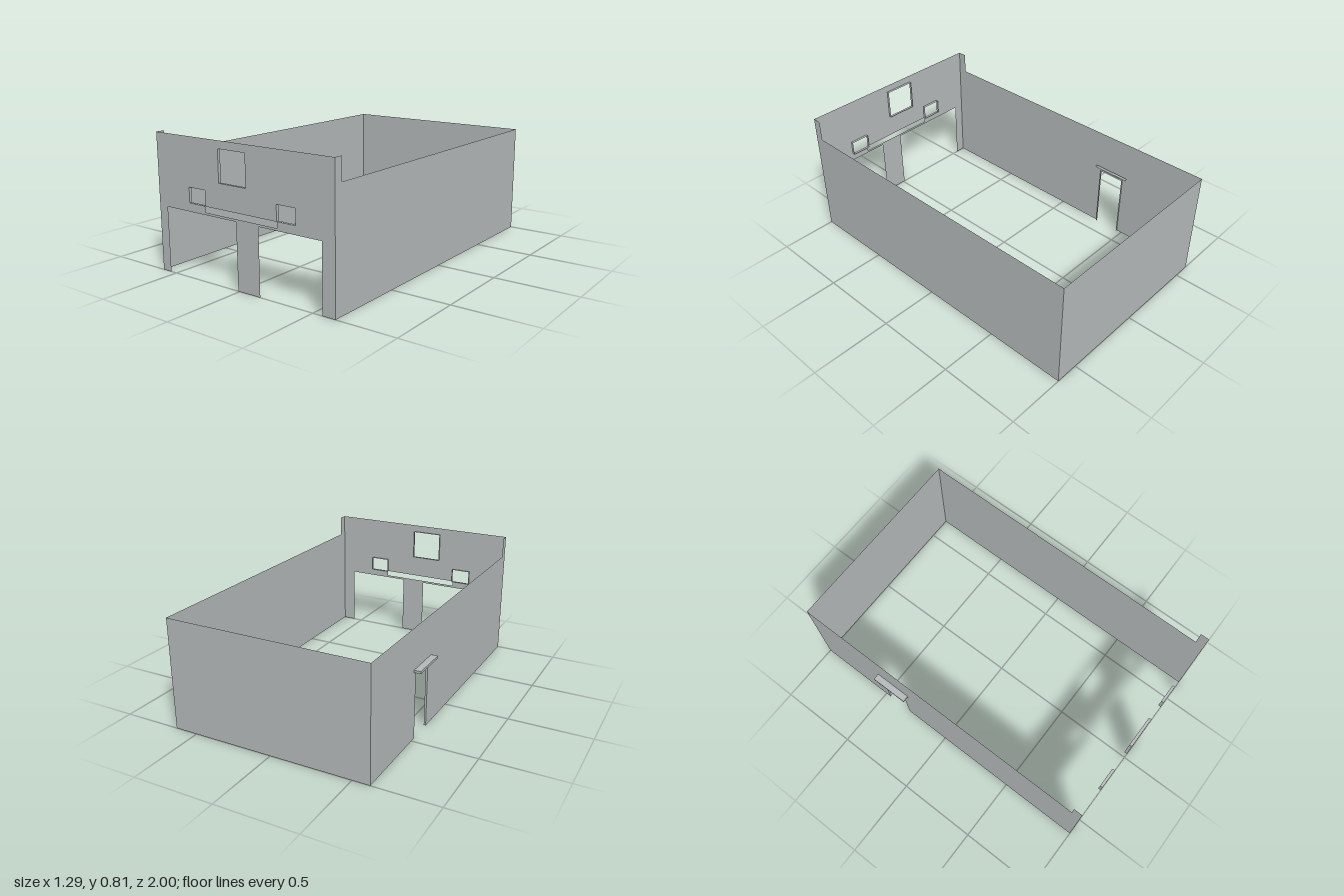
import * as THREE from 'three';

const LEFT = 0.643, RIGHT = -0.605;   // side wall planes
const FRONT = 1, BACK = -1;           // end wall planes
const WALL_H = 0.68, FACADE_H = 0.807, RETURN_Z = 0.945;

const rect = (x0, x1, y0, y1) => [[x0, y0], [x1, y0], [x1, y1], [x0, y1]];
const toPoints = (list) => list.map(([x, y]) => new THREE.Vector2(x, y));

// Flat panel in the XY plane with openings cut out
function panel(outline, holes = []) {
  const shape = new THREE.Shape(toPoints(outline));
  holes.forEach((h) => shape.holes.push(new THREE.Path(toPoints(h))));
  return new THREE.ShapeGeometry(shape);
}

// Thin strip that follows a path and runs from z0 to z1 (lining of an opening)
function lining(path, z0, z1) {
  const pos = [];
  for (let i = 0; i < path.length - 1; i++) {
    const [ax, ay] = path[i], [bx, by] = path[i + 1];
    pos.push(ax, ay, z0, bx, by, z0, bx, by, z1, ax, ay, z0, bx, by, z1, ax, ay, z1);
  }
  const g = new THREE.BufferGeometry();
  g.setAttribute('position', new THREE.Float32BufferAttribute(pos, 3));
  g.computeVertexNormals();
  return g;
}

export function createModel() {
  const group = new THREE.Group();
  const wallGrey = new THREE.MeshStandardMaterial({ color: 0xb2b7b7, side: THREE.DoubleSide });
  wallGrey.name = 'wallGrey';

  const add = (parent, name, geometry) => {
    const mesh = new THREE.Mesh(geometry, wallGrey);
    mesh.name = name;
    parent.add(mesh);
    return mesh;
  };

  // Front facade: two garage openings, three windows and a sign slot
  const facade = new THREE.Group();
  facade.name = 'facade';
  facade.position.z = FRONT;
  group.add(facade);
  const bayTop = 0.386;
  const windows = [
    rect(-0.128, 0.066, 0.577, 0.762),
    rect(-0.359, -0.235, 0.435, 0.524),
    rect(0.273, 0.397, 0.435, 0.524),
  ];
  const signSlot = rect(-0.238, 0.276, 0.4, 0.434);
  add(facade, 'frontWall', panel([
    [RIGHT, 0], [-0.541, 0], [-0.541, bayTop], [-0.01, bayTop], [-0.01, 0],
    [0.148, 0], [0.148, bayTop], [0.562, bayTop], [0.562, 0],
    [LEFT, 0], [LEFT, FACADE_H], [RIGHT, FACADE_H],
  ], [...windows, signSlot]));
  windows.forEach((w) => add(facade, 'windowReveal', lining([...w, w[0]], -0.017, 0)));

  // Rear wall
  add(group, 'backWall', panel(rect(RIGHT, LEFT, 0, WALL_H))).position.z = BACK;

  // Side walls, drawn with z along the shape's x, raised where they meet the facade
  const sideTop = [[FRONT, FACADE_H], [RETURN_Z, FACADE_H], [RETURN_Z, WALL_H], [BACK, WALL_H]];
  const leftSide = add(group, 'leftWall', panel([[BACK, 0], [FRONT, 0], ...sideTop]));
  leftSide.rotation.y = -Math.PI / 2;
  leftSide.position.x = LEFT;

  const rightSide = new THREE.Group();
  rightSide.name = 'rightSide';
  rightSide.rotation.y = -Math.PI / 2;
  rightSide.position.x = RIGHT;
  group.add(rightSide);
  const doorway = [[-0.465, 0], [-0.465, 0.41], [-0.3, 0.41], [-0.3, 0]];
  const canopy = rect(-0.49, -0.255, 0.416, 0.431);
  add(rightSide, 'rightWall', panel([[BACK, 0], ...doorway, [FRONT, 0], ...sideTop], [canopy]));
  add(rightSide, 'doorReveal', lining(doorway, -0.012, 0));

  // Hollow canopy over the side door, open towards the inside
  const canopyDepth = 0.04;
  add(rightSide, 'canopyShell', lining([...canopy, canopy[0]], 0, canopyDepth));
  add(rightSide, 'canopyFascia', panel(canopy)).position.z = canopyDepth;

  return group;
}
